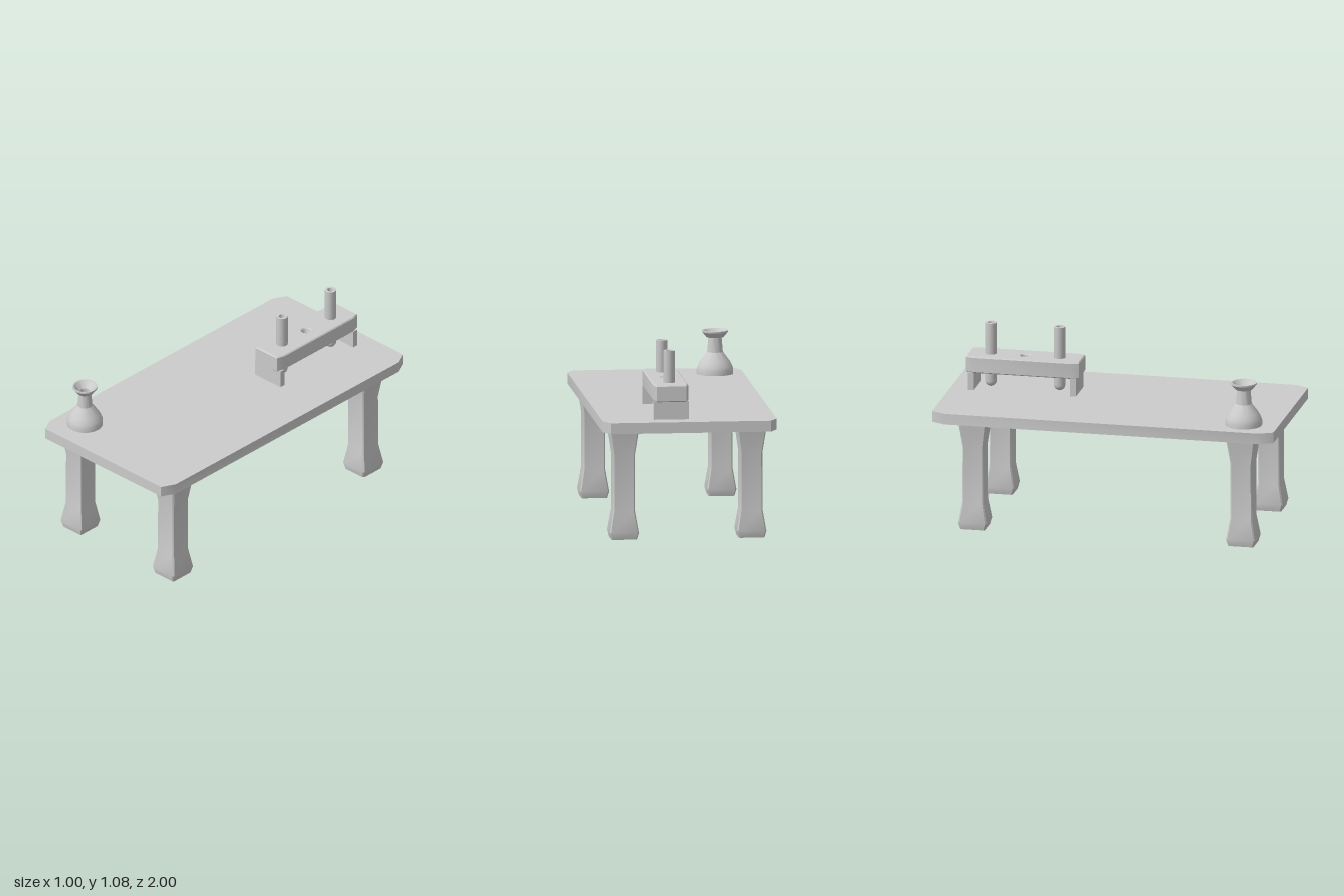
import * as THREE from 'three';
import { toCreasedNormals } from 'three/addons/utils/BufferGeometryUtils.js';

const material = new THREE.MeshStandardMaterial({ color: 0xcccccc, side: THREE.DoubleSide });

function add(parent, name, geometry, x = 0, y = 0, z = 0) {
  const mesh = new THREE.Mesh(toCreasedNormals(geometry, 0.5), material);
  mesh.name = name;
  mesh.position.set(x, y, z);
  parent.add(mesh);
  return mesh;
}

// Corner points of a rectangle with cut corners, anticlockwise
function cutRect(hx, hy, cx, cy) {
  return [[hx, cy - hy], [hx, hy - cy], [hx - cx, hy], [cx - hx, hy],
    [-hx, hy - cy], [-hx, cy - hy], [cx - hx, -hy], [hx - cx, -hy]]
    .map(([x, y]) => new THREE.Vector2(x, y));
}

// Horizontal slab, standing on y = 0
function slab(points, height, bevel, holeRadius = 0) {
  const shape = new THREE.Shape(points);
  if (holeRadius) shape.holes.push(new THREE.Path().absarc(0, 0, holeRadius, 0, Math.PI * 2, true));
  return new THREE.ExtrudeGeometry(shape, {
    depth: height - 2 * bevel, bevelEnabled: bevel > 0, bevelThickness: bevel,
    bevelSize: bevel, bevelOffset: -bevel, bevelSegments: 1, curveSegments: 10,
  }).translate(0, 0, bevel).rotateX(-Math.PI / 2);
}

// Closed square-section column with cut edges; rows are [y, half width]
function column(rows, cut) {
  const positions = [], index = [], n = 8;
  for (const [y, h] of rows) {
    for (const p of cutRect(h, h, cut, cut)) positions.push(p.x, y, -p.y);
  }
  for (let r = 0; r < rows.length - 1; r++) {
    for (let i = 0; i < n; i++) {
      const a = r * n + i, b = r * n + (i + 1) % n;
      index.push(a, b, b + n, a, b + n, a + n);
    }
  }
  const top = (rows.length - 1) * n;
  for (let i = 1; i < n - 1; i++) index.push(0, i + 1, i, top, top + i, top + i + 1);
  const geometry = new THREE.BufferGeometry();
  geometry.setAttribute('position', new THREE.Float32BufferAttribute(positions, 3));
  geometry.setIndex(index);
  geometry.computeVertexNormals();
  return geometry;
}

function lathe(profile, segments) {
  return new THREE.LatheGeometry(profile.map(([r, y]) => new THREE.Vector2(r, y)), segments);
}

export function createModel() {
  const model = new THREE.Group();
  model.name = 'labTable';

  // Table top and four legs flared at both ends
  add(model, 'tableTop', slab(cutRect(0.5, 1, 0.04, 0.08), 0.063, 0), 0, 0.636, 0);
  const legRows = [[0, 0.074], [0.04, 0.084], [0.16, 0.064], [0.485, 0.063], [0.636, 0.084]];
  for (const [side, x] of [['Left', 0.366], ['Right', -0.366]]) {
    for (const [end, z] of [['front', 0.804], ['back', -0.767]]) {
      add(model, end + side + 'Leg', column(legRows, 0.007), x, 0, z);
    }
  }

  // Flask with a flared, hollow mouth
  add(model, 'flask', lathe([
    [0, 0], [0.105, 0], [0.105, 0.026], [0.099, 0.045], [0.085, 0.072], [0.045, 0.126],
    [0.038, 0.212], [0.05, 0.212], [0.074, 0.242], [0.074, 0.251], [0.066, 0.251],
    [0.034, 0.212], [0.034, 0.17], [0, 0.17],
  ], 28), -0.335, 0.699, 0.8);

  // Rack: drilled block on two end plates
  const rack = new THREE.Group();
  rack.name = 'tubeRack';
  rack.position.set(0.1, 0.699, -0.575);
  model.add(rack);
  add(rack, 'rackBlock', slab(cutRect(0.1, 0.332, 0.015, 0.045), 0.096, 0.006, 0.027), 0, 0.102, 0);
  add(rack, 'rackHoleFloor', lathe([[0.027, 0.19], [0.017, 0.16], [0, 0.16]], 16));
  add(rack, 'rackHoleBase', new THREE.CylinderGeometry(0.034, 0.034, 0.01, 16), 0, 0.108, 0);
  for (const [name, s] of [['front', 1], ['back', -1]]) {
    add(rack, name + 'RackPlate', new THREE.BoxGeometry(0.2, 0.104, 0.034), 0, 0.052, s * 0.3);

    // Round-bottomed tube with a recessed mouth
    const profile = [];
    for (let i = 0; i <= 5; i++) {
      const a = i / 5 * Math.PI / 2;
      profile.push([0.033 * Math.sin(a), 0.037 - 0.033 * Math.cos(a)]);
    }
    profile.push([0.033, 0.382], [0.019, 0.382], [0.016, 0.34], [0, 0.34]);
    add(rack, name + 'Tube', lathe(profile, 16), 0, 0, s * 0.2);
  }
  return model;
}
